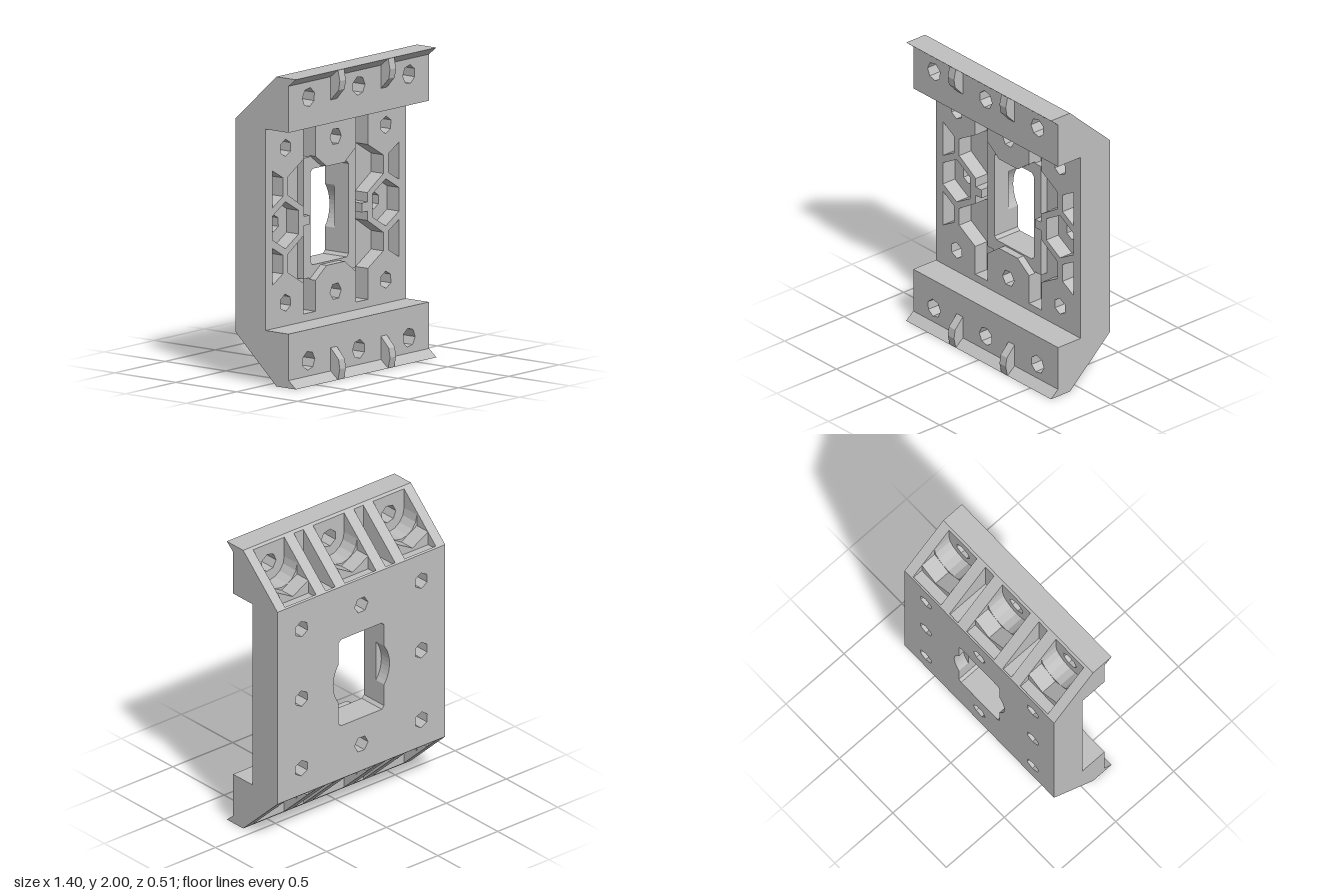
import * as THREE from 'three';

const grey = new THREE.MeshStandardMaterial({ color: 0xbfbfbf });
grey.name = 'light grey';

const toPts = (list) => list.map(([x, y]) => new THREE.Vector2(x, y));

// Regular polygon as a point list
function ngon(cx, cy, r, n, turn = 0) {
  return Array.from({ length: n }, (_, i) => {
    const a = turn + (i / n) * Math.PI * 2;
    return [cx + r * Math.cos(a), cy + r * Math.sin(a)];
  });
}

// Outline in x,y extruded from z0 to z1, with optional holes
function slab(parent, name, outline, holes, z0, z1) {
  const shape = new THREE.Shape(toPts(outline));
  holes.forEach((h) => shape.holes.push(new THREE.Path(toPts(h))));
  const g = new THREE.ExtrudeGeometry(shape, { depth: z1 - z0, bevelEnabled: false, curveSegments: 8 });
  g.translate(0, 0, z0);
  const m = new THREE.Mesh(g, grey);
  m.name = name;
  parent.add(m);
}

// Side profile in z,y extruded from x0 to x1
function bar(parent, name, profile, x0, x1) {
  const g = new THREE.ExtrudeGeometry(new THREE.Shape(toPts(profile)), { depth: x1 - x0, bevelEnabled: false });
  g.rotateY(-Math.PI / 2);
  g.translate(x1, 0, 0);
  const m = new THREE.Mesh(g, grey);
  m.name = name;
  parent.add(m);
}

const rect = (x0, y0, x1, y1) => [[x0, y0], [x1, y0], [x1, y1], [x0, y1]];
const flipX = (p) => p.map(([x, y]) => [-x, y]);
const flipY = (p) => p.map(([x, y]) => [x, -y]);

// All y values below are measured from the middle of the plate
function buildPlate(parent) {
  const outline = rect(-0.7, -0.65, 0.7, 0.65);

  // Central window with clipped corners, and its wider round relief at the back
  const corner = [[0.19, 0.29], [0.17, 0.31]];
  const quarterTurn = (q) => [...q, ...flipX(q).reverse()];
  const upper = quarterTurn(corner);
  const windowHole = [...upper, ...flipY(upper).reverse()];
  const arc = [];
  for (let i = 0; i <= 5; i++) {
    const a = (i / 5) * Math.acos(0.19 / 0.235);
    arc.push([0.235 * Math.cos(a), 0.235 * Math.sin(a)]);
  }
  const reliefUpper = quarterTurn([...arc, ...corner]);
  const reliefHole = [...reliefUpper, ...flipY(reliefUpper).slice(1, -1).reverse()];

  // Screw holes
  const screws = [], middleScrews = [];
  for (const x of [-0.5, 0, 0.5]) {
    for (const y of [-0.5, 0, 0.5]) {
      if (x === 0 && y === 0) continue;
      (y === 0 ? middleScrews : screws).push(ngon(x, y, 0.056, 6, x + 2 * y));
    }
  }

  // Pockets: inner slots, outer cells and hexagonal nut seats
  const slot = [[0.2, 0.4], [0.2, 0.6], [0.32, 0.6], [0.32, 0.4], [0.475, 0.31],
    [0.475, 0.19], [0.315, 0.09], [0.315, 0.03], [0.26, 0.03]];
  const deepSlot = [...slot, [0.26, 0.39], [0.2, 0.39]];
  const cell = [[0.525, 0.31], [0.63, 0.37], [0.63, 0.13], [0.525, 0.19]];
  const four = (p) => [p, flipX(p), flipY(p), flipX(flipY(p))];
  const seats = [-0.5, 0.5].map((x) => ngon(x, 0, 0.152, 6, Math.PI / 6));
  const pockets = [...four(cell), ...seats];

  // Shallow recess joining the slots around the window
  const q = [[0.09, 0.32], ...slot];
  const rightSide = [...q, ...flipY(q).reverse()];
  const recess = [...rightSide, ...flipX(rightSide).reverse()];

  slab(parent, 'backPlate', outline, [reliefHole, ...screws, ...middleScrews], -0.255, -0.175);
  slab(parent, 'pocketFloor', outline, [windowHole, ...screws, ...middleScrews], -0.175, -0.11);
  slab(parent, 'pocketWalls', outline, [windowHole, ...screws, ...pockets, ...four(deepSlot)], -0.11, -0.06);
  slab(parent, 'frontWalls', outline, [recess, ...screws, ...pockets], -0.06, -0.01);
}

function buildEnd(name) {
  const end = new THREE.Group();
  end.name = name;

  // Front flange with three holes, topped by an overhanging lip
  const holes = [-0.5, 0, 0.5].map((x) => ngon(x, 0.85, 0.062, 7, x));
  slab(end, 'flange', rect(-0.7, 0.65, 0.7, 0.95), holes, 0.065, 0.18);
  bar(end, 'lip', [[0.065, 0.95], [0.18, 0.95], [0.24, 1], [0.08, 1], [0.065, 0.986]], -0.7, 0.7);
  for (const x of [-0.25, 0.25]) {
    bar(end, 'lipRib', [[0.175, 0.8], [0.18, 0.8], [0.245, 0.87], [0.255, 0.93], [0.24, 0.999], [0.175, 0.95]], x - 0.03, x + 0.03);
  }

  // Sloped ribs between the cells
  const rib = [[0.065, 0.65], [0.065, 0.986], [-0.255, 0.69], [-0.255, 0.65]];
  for (const [a, b] of [[0.13, 0.21], [0.29, 0.37], [0.63, 0.7]]) {
    bar(end, 'slopedRib', rib, a, b);
    bar(end, 'slopedRib', rib, -b, -a);
  }
  bar(end, 'cellEdge', [[-0.255, 0.65], [-0.245, 0.65], [-0.245, 0.699], [-0.255, 0.69]], -0.7, 0.7);
  bar(end, 'cellFloor', [[-0.245, 0.65], [0.065, 0.65], [0.065, 0.68], [-0.245, 0.68]], -0.699, 0.699);

  // Round clearance and pointed nut seat inside each large cell
  for (const x of [-0.5, 0, 0.5]) {
    const round = [[x - 0.13, 0.66], [x + 0.13, 0.66]];
    for (let i = 0; i <= 8; i++) {
      const a = (-i / 8) * Math.PI;
      round.push([x + 0.13 * Math.cos(a), 0.85 + 0.13 * Math.sin(a)]);
    }
    slab(end, 'roundSeat', round, [], -0.06, 0.065);
    const nut = [[x - 0.13, 0.66], [x + 0.13, 0.66], [x + 0.13, 0.772], [x, 0.7], [x - 0.13, 0.772]];
    slab(end, 'nutSeat', nut, [], -0.17, -0.06);
  }
  return end;
}

export function createModel() {
  const model = new THREE.Group();
  model.name = 'mountingBracket';

  const plate = new THREE.Group();
  plate.name = 'plate';
  buildPlate(plate);

  const topEnd = buildEnd('topEnd');
  const bottomEnd = buildEnd('bottomEnd');
  bottomEnd.rotation.z = Math.PI;

  for (const part of [plate, topEnd, bottomEnd]) {
    part.position.y = 1;
    model.add(part);
  }
  return model;
}
